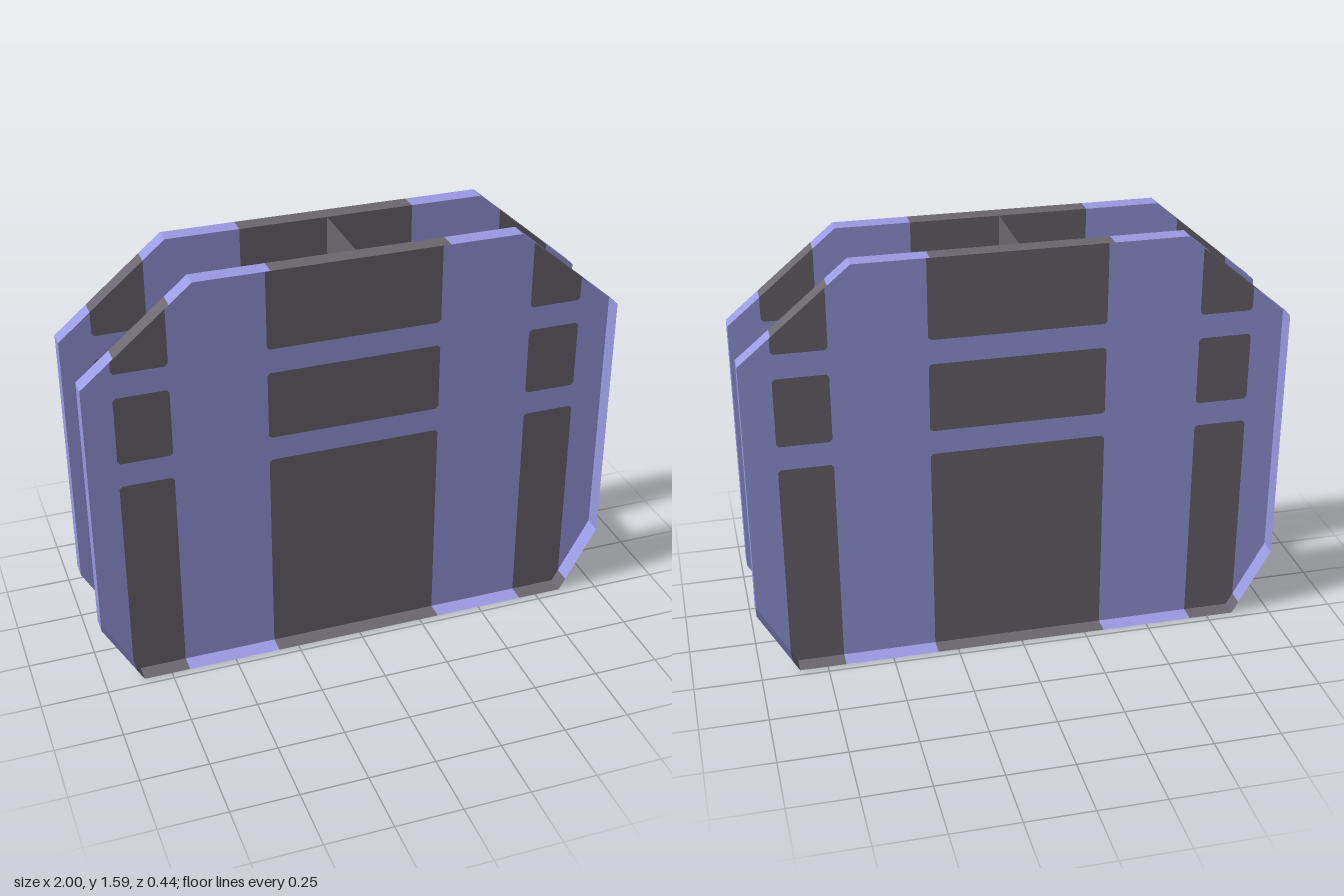
import * as THREE from 'three';

const TOP = 1.592, Z_IN = 0.152, Z_OUT = 0.219, CUT = 0.01;

// Tray outline, counter-clockwise seen from the front
const OUTLINE = [
  [-0.855, 0], [0.855, 0], [1, 0.26], [1, 1.255],
  [0.598, TOP], [-0.598, TOP], [-1, 1.255], [-1, 0.26],
];
const outlineEdges = OUTLINE.map((a, i) => [a, OUTLINE[(i + 1) % OUTLINE.length]]);

// A cell is dark where a dark column (odd) meets a dark row (even)
const COLUMNS = [-1, -0.88, -0.68, -0.327, 0.327, 0.68, 0.88, 1];
const ROWS = [0, 0.813, 0.905, 1.168, 1.261, TOP];
const WEB_ROWS = [0, 0.815, 0.902, 1.17, 1.255, TOP];

// Positive when p lies on the inner side of edge a-b
const side = (a, b, p) => (b[0] - a[0]) * (p[1] - a[1]) - (b[1] - a[1]) * (p[0] - a[0]);

// Cut a polygon down to the part inside the outline
function clip(poly) {
  for (const [a, b] of outlineEdges) {
    const out = [];
    poly.forEach((p, i) => {
      const q = poly[(i + 1) % poly.length];
      const sp = side(a, b, p), sq = side(a, b, q);
      if (sp >= -1e-9) out.push(p);
      if ((sp > 1e-9 && sq < -1e-9) || (sp < -1e-9 && sq > 1e-9)) {
        const t = sp / (sp - sq);
        out.push([p[0] + (q[0] - p[0]) * t, p[1] + (q[1] - p[1]) * t]);
      }
    });
    poly = out;
  }
  return poly;
}

// Split the tray into pale and dark polygons; dark panels get softened corners
function colourCells() {
  const pale = [], dark = [];
  for (let c = 0; c < COLUMNS.length - 1; c++) {
    for (let r = 0; r < ROWS.length - 1; r++) {
      const [x0, x1, y0, y1] = [COLUMNS[c], COLUMNS[c + 1], ROWS[r], ROWS[r + 1]];
      const corners = [[x0, y0], [x1, y0], [x1, y1], [x0, y1]];
      if (c % 2 === 0 || r % 2 === 1) {
        pale.push(clip(corners));
        continue;
      }
      const panel = [];
      corners.forEach(([x, y], i) => {
        if (y === 0 || y === TOP) {
          panel.push([x, y]);
          return;
        }
        const alongX = [x + (x === x0 ? CUT : -CUT), y];
        const alongY = [x, y + (y === y0 ? CUT : -CUT)];
        const [before, after] = i % 2 ? [alongX, alongY] : [alongY, alongX];
        panel.push(before, after);
        pale.push(clip([before, [x, y], after]));
      });
      dark.push(clip(panel));
    }
  }
  return { pale, dark };
}

const toGeometry = (pos) => {
  const geo = new THREE.BufferGeometry();
  geo.setAttribute('position', new THREE.Float32BufferAttribute(pos, 3));
  geo.computeVertexNormals();
  return geo;
};

// Flat floor of the tray
function floorGeometry(cells, z) {
  const pos = [];
  for (const cell of cells) {
    for (let i = 1; i < cell.length - 1; i++) {
      for (const p of [cell[0], cell[i], cell[i + 1]]) pos.push(...p, z);
    }
  }
  return toGeometry(pos);
}

// Wall along the outline, coloured by the cells it borders
function rimGeometry(cells, z0, z1) {
  const pos = [];
  for (const cell of cells) {
    cell.forEach((p, i) => {
      const q = cell[(i + 1) % cell.length];
      const onRim = outlineEdges.some(([a, b]) =>
        Math.abs(side(a, b, p)) < 1e-6 && Math.abs(side(a, b, q)) < 1e-6);
      if (onRim) pos.push(...p, z0, ...q, z0, ...q, z1, ...p, z0, ...q, z1, ...p, z1);
    });
  }
  return toGeometry(pos);
}

export function createModel() {
  const blue = new THREE.MeshStandardMaterial({ color: 0x9a9ae3, side: THREE.DoubleSide });
  blue.name = 'lavenderBlue';
  const grey = new THREE.MeshStandardMaterial({ color: 0x6b6770, side: THREE.DoubleSide });
  grey.name = 'darkGrey';

  const model = new THREE.Group();
  model.name = 'doubleTray';
  const add = (parent, name, geo, mat) => {
    const mesh = new THREE.Mesh(geo, mat);
    mesh.name = name;
    parent.add(mesh);
    return mesh;
  };

  // Two shallow trays, open to the outside, with thin rims
  const { pale, dark } = colourCells();
  for (const [name, zFloor, zLip] of [['frontTray', Z_IN, Z_OUT], ['backTray', -Z_IN, -Z_OUT]]) {
    const tray = new THREE.Group();
    tray.name = name;
    const [z0, z1] = [Math.min(zFloor, zLip), Math.max(zFloor, zLip)];
    for (const [label, cells, mat] of [['Blue', pale, blue], ['Grey', dark, grey]]) {
      add(tray, 'floor' + label, floorGeometry(cells, zFloor), mat);
      add(tray, 'rim' + label, rimGeometry(cells, z0, z1), mat);
    }
    model.add(tray);
  }

  // Thin upright web joining the trays, banded like the rows
  const web = new THREE.Group();
  web.name = 'centreWeb';
  for (let r = 0; r < WEB_ROWS.length - 1; r++) {
    const h = WEB_ROWS[r + 1] - WEB_ROWS[r];
    const band = add(web, 'webBand' + (r + 1), new THREE.PlaneGeometry(2 * Z_IN, h), r % 2 ? blue : grey);
    band.rotation.y = Math.PI / 2;
    band.position.y = WEB_ROWS[r] + h / 2;
  }
  model.add(web);
  return model;
}
